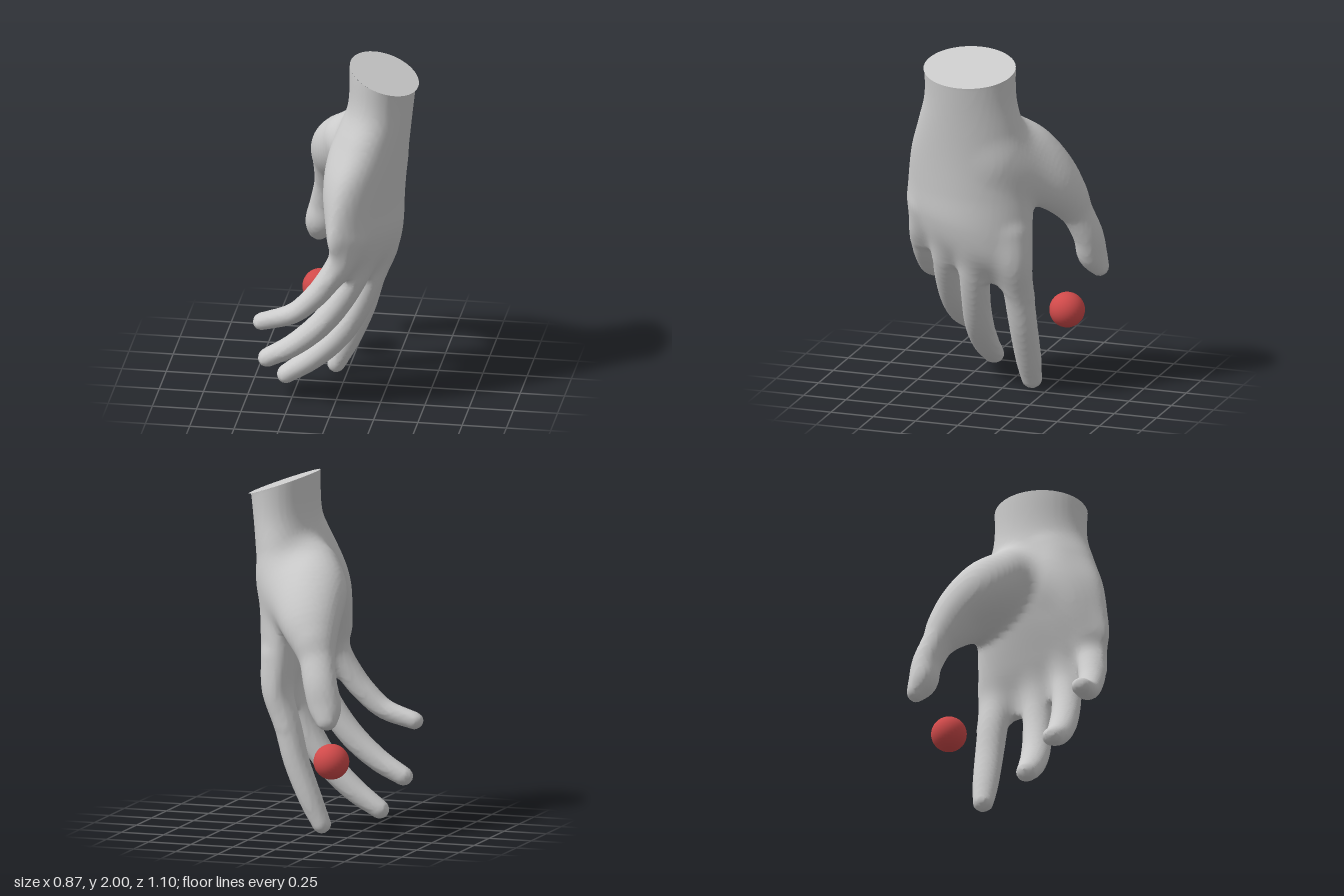
import * as THREE from 'three';

const grey = new THREE.MeshStandardMaterial({ color: 0xcccccc });
const red = new THREE.MeshStandardMaterial({ color: 0xd04a4a });

const STEP = 0.0185;
const ORIGIN = [-0.48, -0.05, -0.61];
const COUNT = [54, 115, 66];

// Slanted plane that cuts the wrist
const CUT = { x: 0.249, y: 1.935, z: 0.106, slope: -0.35, hx: 0.191, hz: 0.265 };
const cutHeight = (x) => CUT.y + CUT.slope * (x - CUT.x);

// Level sections, downwards: y, then x, z, half depth, half width, x per z, x per z squared
const WRIST_AND_PALM = [
  [2.00, 0.249, 0.106, 0.191, 0.265, 0, 0],
  [1.76, 0.230, 0.107, 0.182, 0.266, 0, 0],
  [1.60, 0.200, 0.118, 0.193, 0.306, -0.04, 0.1],
  [1.40, 0.175, 0.135, 0.195, 0.360, -0.10, 0.3],
  [1.20, 0.183, 0.147, 0.168, 0.384, -0.15, 0.5],
  [1.00, 0.202, 0.155, 0.132, 0.390, -0.19, 0.65],
  [0.86, 0.200, 0.150, 0.090, 0.370, -0.20, 0.65],
  [0.72, 0.165, 0.145, 0.030, 0.330, -0.20, 0.65],
];

// Limb paths: x, y, z, radius
const HEEL_OF_HAND = [[0.12, 1.60, 0.18, 0.08], [0.065, 1.46, 0.23, 0.10], [0.045, 1.28, 0.33, 0.095], [0.07, 1.08, 0.41, 0.075]];
const THUMB_WEB = [[0.17, 1.41, -0.05, 0.14], [0.09, 1.31, -0.18, 0.115], [0.00, 1.20, -0.295, 0.095], [-0.08, 1.12, -0.365, 0.075]];
const THUMB = [
  [0.07, 1.47, -0.03, 0.165], [0.005, 1.37, -0.15, 0.178], [-0.05, 1.23, -0.290, 0.143], [-0.115, 1.06, -0.387, 0.092],
  [-0.160, 0.90, -0.450, 0.083], [-0.192, 0.78, -0.464, 0.081], [-0.215, 0.700, -0.500, 0.053],
];
const FINGERS = {
  index: [
    [0.215, 0.98, -0.130, 0.075], [0.207, 0.80, -0.140, 0.082], [0.140, 0.60, -0.148, 0.075],
    [0.085, 0.40, -0.155, 0.071], [0.005, 0.20, -0.155, 0.065], [-0.063, 0.052, -0.152, 0.052],
  ],
  middle: [
    [0.215, 0.97, 0.080, 0.075], [0.195, 0.79, 0.095, 0.078], [0.120, 0.56, 0.115, 0.073],
    [0.010, 0.365, 0.132, 0.072], [-0.140, 0.212, 0.145, 0.066], [-0.298, 0.100, 0.155, 0.053],
  ],
  ring: [
    [0.160, 0.98, 0.265, 0.073], [0.125, 0.81, 0.280, 0.075], [0.040, 0.64, 0.300, 0.072],
    [-0.080, 0.48, 0.312, 0.070], [-0.230, 0.350, 0.322, 0.063], [-0.378, 0.265, 0.325, 0.053],
  ],
  little: [
    [0.105, 1.05, 0.410, 0.070], [0.050, 0.91, 0.445, 0.075], [-0.020, 0.80, 0.463, 0.069],
    [-0.095, 0.708, 0.475, 0.064], [-0.210, 0.610, 0.486, 0.057], [-0.385, 0.553, 0.490, 0.049],
  ],
};

function makeSpline(keys, rows) {
  return new THREE.CubicInterpolant(keys, rows.flat(), rows[0].length, new Float32Array(rows[0].length));
}

// Signed distance to a tapering limb; sx and sz below 1 widen it along x or z
function limb(path, sx = 1, sz = 1) {
  const spline = makeSpline(path.map((_, i) => i), path);
  const n = (path.length - 1) * 6;
  const points = Array.from({ length: n + 1 }, (_, i) => [...spline.evaluate(i / 6)]);
  return (x, y, z) => {
    let best = Infinity;
    for (let i = 0; i < n; i++) {
      const a = points[i], b = points[i + 1];
      const ux = (b[0] - a[0]) * sx, uy = b[1] - a[1], uz = (b[2] - a[2]) * sz;
      const px = (x - a[0]) * sx, py = y - a[1], pz = (z - a[2]) * sz;
      const t = Math.min(1, Math.max(0, (px * ux + py * uy + pz * uz) / (ux * ux + uy * uy + uz * uz)));
      const dx = px - ux * t, dy = py - uy * t, dz = pz - uz * t;
      best = Math.min(best, Math.sqrt(dx * dx + dy * dy + dz * dz) - a[3] - (b[3] - a[3]) * t);
    }
    return best;
  };
}

// Signed distance to the wrist and palm: bent ellipses, with the knuckle line sloping
function wristAndPalm() {
  const spline = makeSpline(WRIST_AND_PALM.map((s) => -s[0]), WRIST_AND_PALM.map((s) => s.slice(1)));
  return (x, y, z) => {
    const level = y - 0.3 * (z - 0.15) * (1 - THREE.MathUtils.smoothstep(y, 0.85, 1.2));
    const [cx, cz, hx, hz, shear, bend] = spline.evaluate(-level);
    const dz = z - cz;
    const dx = x - cx - shear * dz + bend * dz * dz;
    const k = Math.hypot(dx / hx, dz / hz);
    const gradient = Math.hypot(dx / (hx * hx), dz / (hz * hz));
    return Math.max((k * (k - 1)) / Math.max(gradient, 1e-6), 0.72 - level);
  };
}

// Union with a soft fillet of size k
function blend(a, b, k) {
  const h = Math.max(k - Math.abs(a - b), 0);
  return Math.min(a, b) - (h * h) / (4 * k);
}

// The whole hand as one soft union of its parts
function handField() {
  const parts = [
    [limb(HEEL_OF_HAND), 0.09],
    [limb(THUMB_WEB), 0.1],
    [limb(THUMB, 0.86, 1), 0.08],
    ...Object.values(FINGERS).map((path) => [limb(path, 1, 0.88), 0.045]),
  ];
  const palm = wristAndPalm();
  return (x, y, z) => parts.reduce((d, [part, k]) => blend(d, part(x, y, z), k), palm(x, y, z));
}

// Skin over the field: one vertex per crossed cell, one quad per crossed grid edge
function skin(field) {
  const [nx, ny, nz] = COUNT;
  const stride = [ny * nz, nz, 1];
  const at = (p) => p[0] * stride[0] + p[1] * stride[1] + p[2];
  const everyPoint = (first, visit) => {
    for (let i = first; i < nx - 1; i++)
      for (let j = first; j < ny - 1; j++)
        for (let k = first; k < nz - 1; k++) visit([i, j, k]);
  };
  const values = Float32Array.from({ length: nx * ny * nz }, (_, n) => field(
    ORIGIN[0] + STEP * Math.floor(n / stride[0]),
    ORIGIN[1] + STEP * (Math.floor(n / nz) % ny),
    ORIGIN[2] + STEP * (n % nz)));

  const positions = [], above = [], vertexOf = new Map();
  everyPoint(0, (p) => {
    const base = at(p), sum = [0, 0, 0];
    let crossings = 0;
    for (let c = 0; c < 8; c++) {
      const corner = [c & 1, (c >> 1) & 1, c >> 2];
      const here = base + at(corner);
      for (let axis = 0; axis < 3; axis++) {
        const v0 = values[here], v1 = values[here + stride[axis]];
        if (corner[axis] || (v0 < 0) === (v1 < 0)) continue;
        corner.forEach((v, m) => { sum[m] += v + (m === axis ? v0 / (v0 - v1) : 0); });
        crossings++;
      }
    }
    if (!crossings) return;
    const [x, y, z] = sum.map((s, m) => ORIGIN[m] + STEP * (p[m] + s / crossings));
    vertexOf.set(base, above.length);
    above.push(y > cutHeight(x));
    positions.push(x, Math.min(y, cutHeight(x)), z);
  });

  const index = [];
  everyPoint(1, (p) => {
    const base = at(p);
    for (let axis = 0; axis < 3; axis++) {
      const inside = values[base] < 0;
      if (inside === values[base + stride[axis]] < 0) continue;
      const s = stride[(axis + 1) % 3], t = stride[(axis + 2) % 3];
      const quad = [base - s - t, base - t, base, base - s].map((cell) => vertexOf.get(cell));
      if (quad.every((v) => above[v])) continue;
      const [a, b, c, d] = inside ? quad : quad.reverse();
      index.push(a, b, c, a, c, d);
    }
  });
  const geometry = new THREE.BufferGeometry();
  geometry.setAttribute('position', new THREE.Float32BufferAttribute(positions, 3));
  geometry.setIndex(index);
  geometry.computeVertexNormals();
  return geometry;
}

export function createModel() {
  const model = new THREE.Group();
  const add = (name, geometry, material) => {
    const mesh = new THREE.Mesh(geometry, material);
    mesh.name = name;
    model.add(mesh);
    return mesh;
  };

  add('hand', skin(handField()), grey);

  // Flat slanted face on top of the wrist
  const tilt = Math.atan(CUT.slope);
  const face = new THREE.CircleGeometry(1, 48).rotateX(-Math.PI / 2).scale(CUT.hx / Math.cos(tilt), 1, CUT.hz).rotateZ(tilt);
  add('wristCut', face, grey).position.set(CUT.x, CUT.y, CUT.z);

  // Small ball below the thumb
  add('ball', new THREE.SphereGeometry(0.1, 32, 20), red).position.set(-0.18, 0.44, -0.32);
  return model;
}
